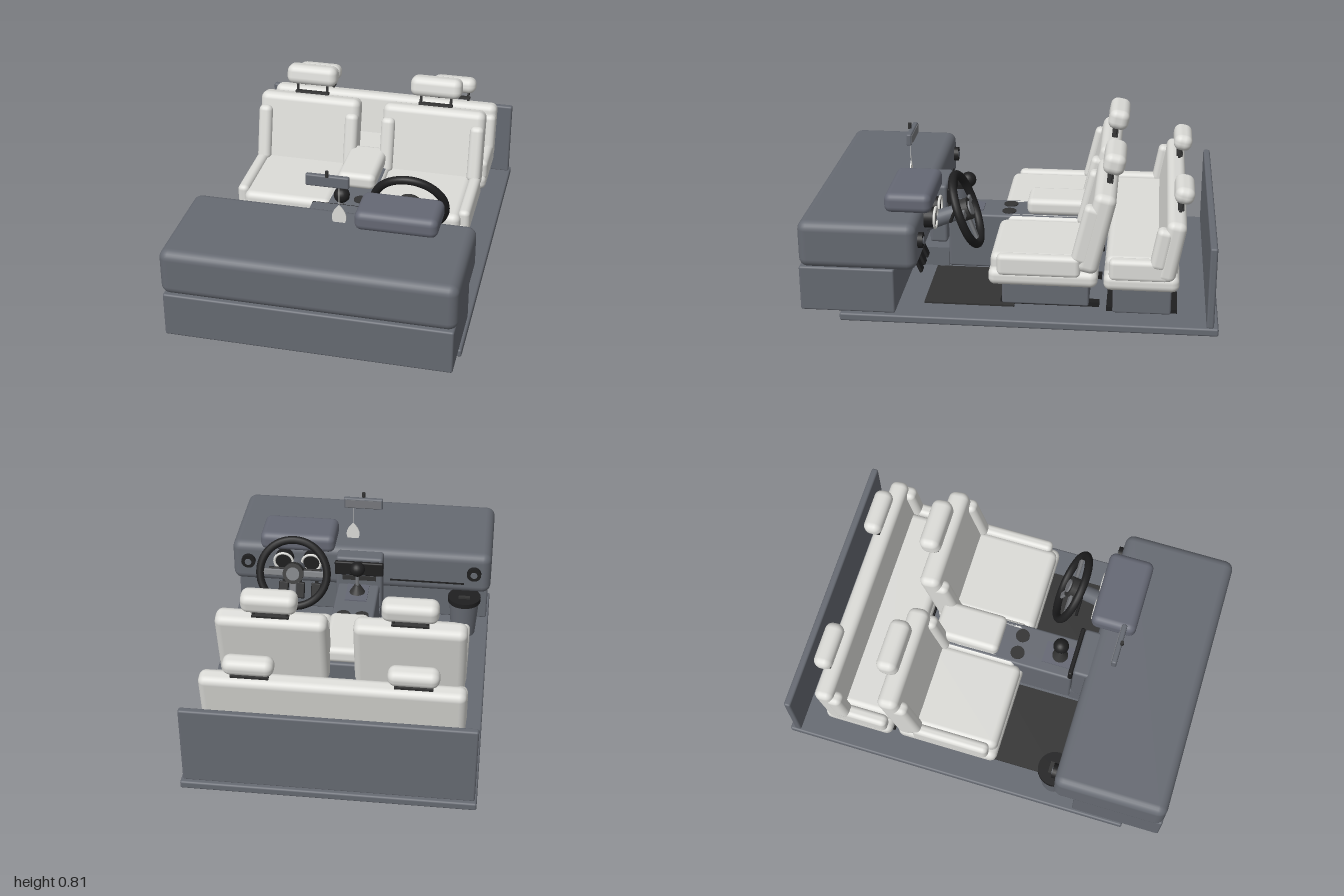
import * as THREE from 'three';
import { RoundedBoxGeometry } from 'three/addons/geometries/RoundedBoxGeometry.js';

const mat = (name, color, side = THREE.FrontSide) => {
  const m = new THREE.MeshStandardMaterial({ color, side });
  m.name = name;
  return m;
};

export function createModel() {
  const model = new THREE.Group();
  model.name = 'carInterior';
  const gray = mat('slate trim', 0x666a72);
  const hoodGray = mat('hood trim', 0x656874);
  const light = mat('seat fabric', 0xdcdcd8);
  const dark = mat('dark rubber', 0x333333);
  const black = mat('black plastic', 0x1f1f20);
  const metal = mat('metal', 0x77797d);

  const add = (parent, name, geo, m, pos, rx = 0) => {
    const mesh = new THREE.Mesh(geo, m);
    mesh.name = name;
    mesh.position.set(...pos);
    mesh.rotation.x = rx;
    parent.add(mesh);
    return mesh;
  };
  // box given by centre and size, with rounded edges when r > 0
  const box = (parent, name, m, pos, size, r = 0, rx = 0) => add(parent, name,
    r ? new RoundedBoxGeometry(...size, 3, r) : new THREE.BoxGeometry(...size), m, pos, rx);
  const cyl = (parent, name, m, pos, r1, r2, h, rx = 0, n = 24) =>
    add(parent, name, new THREE.CylinderGeometry(r1, r2, h, n), m, pos, rx);
  const group = (name, x = 0, y = 0, z = 0, rx = 0) => {
    const g = new THREE.Group();
    g.name = name;
    g.position.set(x, y, z);
    g.rotation.x = rx;
    model.add(g);
    return g;
  };

  // floor, rear wall, front bulkhead and dashboard
  box(model, 'floor', gray, [0, 0.02, -0.095], [1.4, 0.04, 1.81], 0.01);
  box(model, 'rearWall', gray, [0, 0.24, -0.96], [1.38, 0.41, 0.035], 0.01);
  box(model, 'bulkhead', gray, [0, 0.158, 0.77], [1.375, 0.226, 0.46], 0.01);
  box(model, 'dashboard', gray, [0, 0.385, 0.715], [1.4, 0.235, 0.57], 0.045);
  box(model, 'instrumentHood', hoodGray, [0.335, 0.545, 0.495], [0.4, 0.1, 0.23], 0.035);
  box(model, 'gloveBoxSeam', black, [-0.36, 0.33, 0.43], [0.4, 0.008, 0.009]);
  for (const s of [-1, 1]) {
    box(model, 'floorMat', dark, [s * 0.335, 0.044, 0.2], [0.43, 0.009, 0.44]);
    cyl(model, 'airVent', black, [s * 0.61, 0.4, 0.422], 0.038, 0.038, 0.03, Math.PI / 2);
    cyl(model, 'airVentCore', gray, [s * 0.61, 0.4, 0.418], 0.018, 0.018, 0.03, Math.PI / 2);
    // dials on the back of the dashboard
    const dx = 0.335 + s * 0.075;
    cyl(model, 'dial', black, [dx, 0.435, 0.41], 0.05, 0.05, 0.06, Math.PI / 2);
    add(model, 'dialRing', new THREE.TorusGeometry(0.05, 0.007, 8, 28), light, [dx, 0.435, 0.378]);
  }

  // centre console and stack
  const con = group('console');
  box(con, 'consoleBody', gray, [0, 0.19, -0.01], [0.22, 0.29, 0.74], 0.012);
  box(con, 'consoleFoot', gray, [0, 0.095, 0.46], [0.22, 0.1, 0.2]);
  box(con, 'centreStack', gray, [0, 0.335, 0.41], [0.25, 0.31, 0.09], 0.015);
  box(con, 'screen', black, [0, 0.435, 0.353], [0.26, 0.08, 0.022], 0.008);
  box(con, 'radio', dark, [0, 0.37, 0.362], [0.18, 0.025, 0.009]);
  box(con, 'armrest', light, [0, 0.378, -0.21], [0.2, 0.086, 0.34], 0.03);
  box(con, 'gearPlate', hoodGray, [0, 0.337, 0.265], [0.115, 0.009, 0.155]);
  cyl(con, 'gearBoot', dark, [0, 0.36, 0.27], 0.015, 0.045, 0.05);
  cyl(con, 'gearLever', metal, [0, 0.42, 0.27], 0.01, 0.01, 0.1, 0, 12);
  add(con, 'gearKnob', new THREE.SphereGeometry(0.04, 20, 14), black, [0, 0.482, 0.27]);
  for (const s of [-1, 1]) cyl(con, 'cupHolder', dark, [s * 0.048, 0.336, 0.055], 0.036, 0.036, 0.007);

  // steering wheel, its column and stalks; local -z faces the driver
  const wheel = group('steeringWheel', 0.335, 0.455, 0.235, 0.36);
  add(wheel, 'rim', new THREE.TorusGeometry(0.178, 0.021, 12, 48), black, [0, 0, 0]);
  cyl(wheel, 'hub', dark, [0, 0, 0.005], 0.055, 0.055, 0.045, Math.PI / 2);
  cyl(wheel, 'hubCap', metal, [0, 0, -0.02], 0.035, 0.035, 0.012, Math.PI / 2);
  for (const s of [-1, 1]) box(wheel, 'spoke', metal, [s * 0.11, 0, 0.005], [0.13, 0.035, 0.016], 0.006);
  box(wheel, 'lowerSpoke', metal, [0, -0.11, 0.005], [0.035, 0.13, 0.016], 0.006);
  cyl(wheel, 'column', gray, [0, 0, 0.13], 0.045, 0.037, 0.23, Math.PI / 2);
  for (const s of [-1, 1]) {
    const stalk = cyl(wheel, 'stalk', black, [s * 0.085, 0.01, 0.06], 0.008, 0.008, 0.11, 0, 10);
    stalk.rotation.z = Math.PI / 2;
  }

  // pedals
  for (const x of [0.25, 0.34, 0.43]) {
    box(model, 'pedal', black, [x, 0.2, 0.465], [0.055, 0.09, 0.016], 0.006, 0.4);
    box(model, 'pedalArm', dark, [x, 0.235, 0.495], [0.016, 0.13, 0.016], 0, -0.25);
  }

  // headrest on two posts
  const headrest = (x, y, z, w, h, d, gap) => {
    const g = group('headrest', x, y, z, -0.2);
    box(g, 'headrestPad', light, [0, 0, 0], [w, h, d], 0.038);
    for (const s of [-1, 1])
      cyl(g, 'headrestPost', dark, [s * 0.08, -h / 2 - gap / 2, 0], 0.007, 0.007, gap + 0.04, 0, 10);
    box(g, 'postGuide', dark, [0, -h / 2 - gap, 0], [0.18, 0.012, 0.03]);
  };

  // front seats
  for (const s of [-1, 1]) {
    const seat = group('frontSeat', s * 0.335);
    for (const t of [-1, 1]) {
      box(seat, 'seatRail', black, [t * 0.16, 0.053, -0.19], [0.04, 0.024, 0.48]);
      box(seat, 'cushionBolster', light, [t * 0.245, 0.28, -0.14], [0.06, 0.11, 0.4], 0.025);
    }
    box(seat, 'pedestal', gray, [0, 0.12, -0.17], [0.42, 0.13, 0.42], 0.01);
    box(seat, 'cushionBase', light, [0, 0.215, -0.16], [0.54, 0.085, 0.525], 0.035);
    box(seat, 'cushion', light, [0, 0.265, -0.155], [0.46, 0.115, 0.5], 0.035);
    const back = group('seatBack', s * 0.335, 0.45, -0.41, -0.23);
    box(back, 'backrest', light, [0, 0, 0], [0.545, 0.41, 0.108], 0.038);
    for (const t of [-1, 1])
      box(back, 'backBolster', light, [t * 0.236, -0.015, 0.04], [0.073, 0.3, 0.09], 0.028);
    headrest(s * 0.335, 0.752, -0.485, 0.272, 0.105, 0.105, 0.045);
  }

  // rear bench
  const bench = group('rearBench');
  box(bench, 'benchPedestal', gray, [0, 0.115, -0.635], [1.14, 0.15, 0.28], 0.01);
  box(bench, 'benchRail', black, [0, 0.05, -0.635], [1.1, 0.02, 0.34]);
  box(bench, 'benchCushionBase', light, [0, 0.215, -0.63], [1.24, 0.085, 0.36], 0.035);
  box(bench, 'benchCushion', light, [0, 0.265, -0.63], [1.12, 0.115, 0.345], 0.035);
  const benchBack = group('benchBack', 0, 0.38, -0.765, -0.18);
  box(benchBack, 'benchBackrest', light, [0, 0, 0], [1.25, 0.31, 0.095], 0.035);
  for (const s of [-1, 1]) {
    box(bench, 'benchCushionBolster', light, [s * 0.59, 0.28, -0.62], [0.065, 0.11, 0.29], 0.025);
    box(benchBack, 'benchBackBolster', light, [s * 0.59, 0.005, 0.045], [0.075, 0.21, 0.08], 0.028);
    headrest(s * 0.38, 0.617, -0.82, 0.24, 0.085, 0.095, 0.03);
  }

  // rear-view mirror with a hanging air freshener
  const mirror = group('rearViewMirror', 0, 0.72, 0.555);
  box(mirror, 'mirrorHousing', gray, [0, 0, 0], [0.21, 0.06, 0.026], 0.008);
  box(mirror, 'mirrorGlass', metal, [0, 0, -0.014], [0.19, 0.044, 0.004]);
  cyl(mirror, 'mirrorStem', dark, [0, 0.042, 0.012], 0.009, 0.009, 0.03, 0, 12);
  cyl(mirror, 'freshenerString', light, [0.055, -0.08, 0], 0.0015, 0.0015, 0.12, 0, 6);
  const drop = new THREE.Shape();
  drop.moveTo(0, 0.05);
  drop.bezierCurveTo(0.03, 0.02, 0.045, -0.01, 0.028, -0.045);
  drop.lineTo(-0.028, -0.045);
  drop.bezierCurveTo(-0.045, -0.01, -0.03, 0.02, 0, 0.05);
  add(mirror, 'airFreshener',
    new THREE.ExtrudeGeometry(drop, { depth: 0.006, bevelEnabled: false }), light, [0.055, -0.175, -0.003]);

  // waste bin in the passenger footwell
  const bin = group('wasteBin', -0.565, 0.04, 0.41);
  cyl(bin, 'binBody', gray, [0, 0.1, 0], 0.08, 0.065, 0.2);
  cyl(bin, 'binLid', black, [0, 0.212, 0], 0.088, 0.088, 0.026);
  box(bin, 'binHandle', dark, [0, 0.228, -0.02], [0.06, 0.012, 0.02]);

  return model;
}
